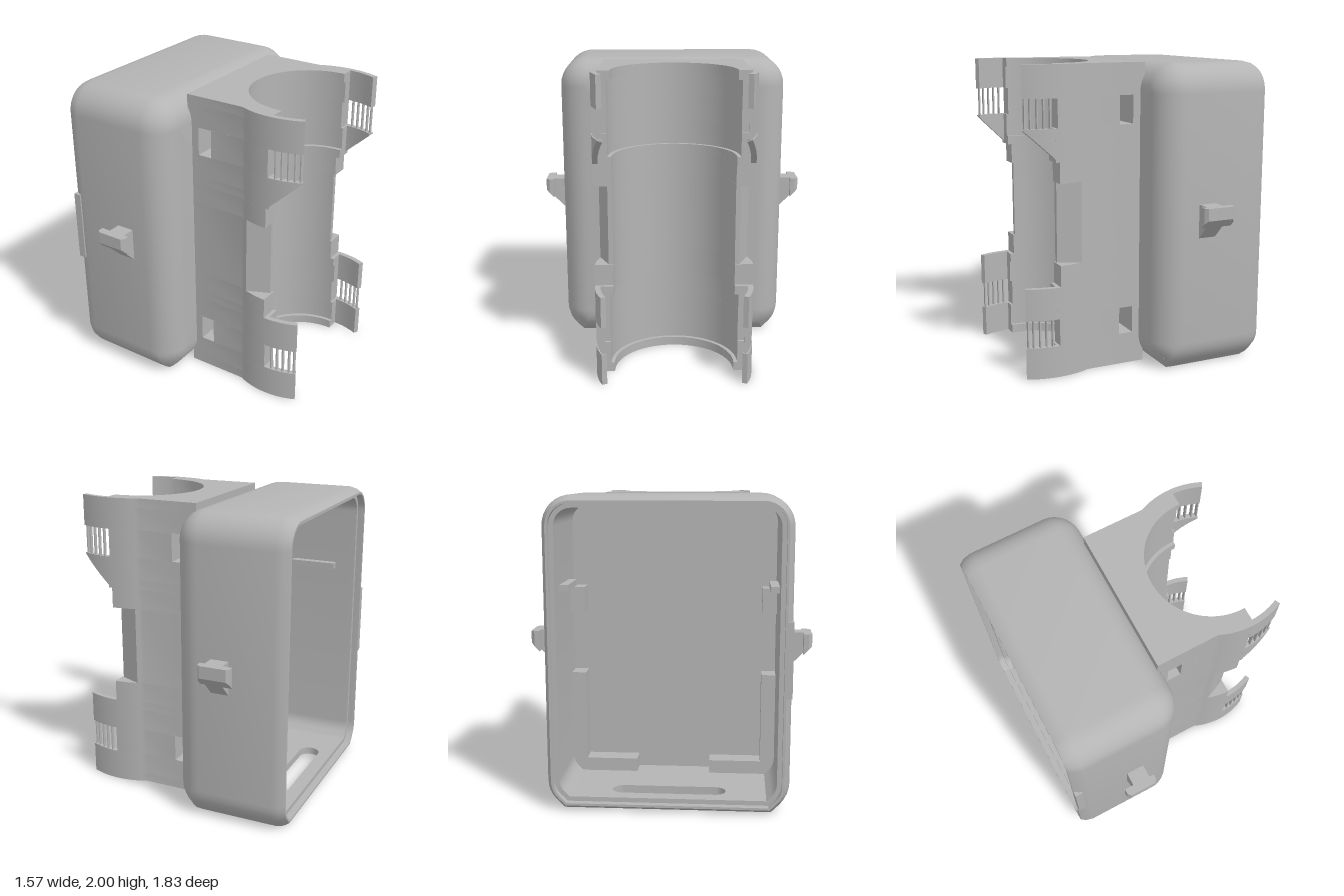
import * as THREE from 'three';
import { toCreasedNormals } from 'three/addons/utils/BufferGeometryUtils.js';

const grey = new THREE.MeshStandardMaterial({ color: 0xb4b4b4, side: THREE.DoubleSide });
grey.name = 'plain grey';

const CX = 0.565, BORE = 0.395, GROOVE = 0.42, OUT = 0.515, ARM = 0.48;

export function createModel() {
  const model = new THREE.Group();
  const add = (name, geo) => {
    const mesh = new THREE.Mesh(toCreasedNormals(geo, 0.5), grey);
    mesh.name = name;
    model.add(mesh);
    return mesh;
  };
  const box = (name, x0, x1, y0, y1, z0, z1) => add(name,
    new THREE.BoxGeometry(x1 - x0, y1 - y0, z1 - z0).translate((x0 + x1) / 2, (y0 + y1) / 2, (z0 + z1) / 2));
  const shapeOf = pts => new THREE.Shape(pts.map(p => new THREE.Vector2(p[0], p[1])));
  // Extrudes a plan outline (x, z) upwards from y0 to y1
  const layer = (shape, y0, y1) =>
    new THREE.ExtrudeGeometry(shape, { depth: y1 - y0, bevelEnabled: false, curveSegments: 16 })
      .rotateX(-Math.PI / 2).translate(0, y0, 0);
  // Points on a circle round the bore axis between two x positions, on the side z > 0
  const arc = (r, xa, xb, n) => {
    const a = Math.acos((xa - CX) / r), b = Math.acos((xb - CX) / r);
    return Array.from({ length: n + 1 }, (_, i) => {
      const t = a + (b - a) * i / n;
      return [CX + r * Math.cos(t), r * Math.sin(t)];
    });
  };
  const flip = pts => pts.map(([x, z]) => [x, -z]).reverse();

  // ---- Hollow case, open towards -x ----
  add('caseShell', shellGeometry());
  const slot = (cx, half, len) => {
    const p = new THREE.Path();
    p.absarc(cx, len - half, half, 0, Math.PI, false);
    p.absarc(cx, half - len, half, Math.PI, 2 * Math.PI, false);
    p.closePath();
    return p;
  };
  // Case bottom with a recessed cable slot
  [[0, 0.03, 0.115, 0.5], [0.03, 0.08, 0.07, 0.37]].forEach(([y0, y1, half, len]) => {
    const s = shapeOf([[-0.70, -0.664], [-0.2, -0.664], [-0.2, 0.664], [-0.70, 0.664]]);
    s.holes.push(slot(-0.578, half, len));
    add('caseBottom', layer(s, y0, y1));
  });
  box('lidNotch', -0.785, -0.735, 0.76, 1.24, 0.735, 0.777);

  // Brackets inside the case
  for (const s of [1, -1]) {
    const inner = (name, x0, x1, y0, y1, za, zb) =>
      box(name, x0, x1, y0, y1, Math.min(za * s, zb * s), Math.max(za * s, zb * s));
    inner('boardPost', -0.22, -0.09, 0.1, 0.78, 0.6, 0.7);
    inner('boardHook', -0.22, -0.09, 1.2, 1.37, 0.6, 0.7);
    inner('boardLedge', -0.22, -0.09, 0.08, 0.17, 0.25, 0.7);
    inner('boardRail', -0.6, -0.28, 1.39, 1.43, 0.64, 0.7);
  }

  // ---- Clamp body, stacked in layers: y0, y1, bore radius, end x, kind ----
  const layers = [
    [0, 0.06, BORE, 0.58], [0.06, 0.21, GROOVE, 0.58], [0.21, 0.39, GROOVE, 0.565, 'window'],
    [0.39, 0.54, GROOVE, 0.58], [0.54, 0.6, BORE, 0.58], [0.6, 0.74, BORE, 0.555],
    [0.74, 1.265, BORE, 0.545, 'cut'], [1.265, 1.4, BORE, 0.555], [1.4, 1.46, BORE, 0.58],
    [1.46, 1.61, GROOVE, 0.58], [1.61, 1.795, GROOVE, 0.565, 'window'],
    [1.795, 1.94, GROOVE, 0.58], [1.94, 2, BORE, 0.58],
  ];
  for (const [y0, y1, r, end, kind] of layers) {
    const x0 = kind === 'window' ? 0.125 : -0.05;
    const outer = kind === 'cut'
      ? [...arc(OUT, 0.355, 0.4, 2), [end, 0.425]]
      : arc(OUT, 0.355, end, 6);
    const bore = arc(r, end, CX - r, 24);
    const half = [[x0, 0.472], ...outer, ...bore];
    add('clampBody', layer(shapeOf([...half, ...flip(half).slice(1)]), y0, y1));
    if (kind === 'window') box('clampBack', -0.05, 0.03, y0, y1, -0.472, 0.472);
  }

  // ---- Thin springy arms ----
  for (const s of [1, -1]) {
    const sector = (xa, xb, dx) => shapeOf(
      [...arc(OUT, xa, xb, 8), ...arc(ARM, xb - dx, xa, 8)].map(([x, z]) => [x, z * s]));
    const plan = sector(0.56, 0.78, 0.015);
    for (const [y0, y1] of [[0, 0.21], [0.39, 0.6], [1.4, 1.61], [1.795, 2]]) {
      const g = layer(plan, y0, y1);
      if (y0 === 1.4) {
        // Slanted lower edge
        const p = g.attributes.position;
        for (let i = 0; i < p.count; i++) {
          if (p.getY(i) < 1.5) p.setY(i, 1.4 + Math.max(0, p.getX(i) - 0.56) * 0.93);
        }
        g.computeVertexNormals();
      }
      add('clampArm', g);
    }
    // Fine bars across the arm windows
    for (const x of [0.61, 0.65, 0.69, 0.73, 0.762]) {
      const z = s * Math.sqrt(0.498 ** 2 - (x - CX) ** 2);
      for (const y of [0.21, 1.61]) box('windowBar', x - 0.004, x + 0.004, y, y + 0.185, z - 0.012, z + 0.012);
    }
  }

  // ---- Hook on each side of the case ----
  for (const s of [1, -1]) {
    const hook = (pts, x0, x1, taper = 0) => {
      const g = new THREE.ExtrudeGeometry(shapeOf(pts.map(([z, y]) => [z * s, y])),
        { depth: x1 - x0, bevelEnabled: false }).rotateY(-Math.PI / 2).translate(x1, 0, 0);
      const p = g.attributes.position, mid = (x0 + x1) / 2;
      for (let i = 0; i < p.count; i++) {
        if (Math.abs(p.getZ(i)) > 0.9) p.setX(i, p.getX(i) - Math.sign(p.getX(i) - mid) * taper);
      }
      g.computeVertexNormals();
      return g;
    };
    add('hookStem', hook([[0.76, 1.11], [0.87, 1.11], [0.87, 0.985], [0.775, 0.89], [0.76, 0.89]], -0.412, -0.293));
    add('hookHead', hook([[0.86, 1.11], [0.893, 1.11], [0.893, 1.008], [0.86, 0.975]], -0.474, -0.26));
    add('hookTip', hook([[0.893, 1.11], [0.915, 1.11], [0.915, 1.03], [0.893, 1.008]], -0.474, -0.26, 0.018));
  }
  return model;
}

// Case walls: rounded loops in the y-z plane strung along a profile of x and inset
function shellGeometry() {
  const R = 0.18, K = 2 - Math.SQRT2, rings = [];
  for (let i = 8; i >= 0; i--) {
    const t = i / 8 * Math.PI / 2, a = R * (1 - Math.sin(t)), d = R * (1 - Math.cos(t));
    // The lower edge ends in a 45 degree slope
    rings.push([-0.02 - a, d, t > Math.PI / 4 ? d : Math.max(0, K * R - a)]);
  }
  const straight = rings.length - 1;
  for (const [x, d] of [[-0.70, 0], [-0.75, 0.012], [-0.785, 0.035], [-0.785, 0.05],
    [-0.74, 0.05], [-0.74, 0.08], [-0.70, 0.08], [-0.2, 0.08], [-0.09, 0.08]]) rings.push([x, d, d]);

  const loops = rings.map(([x, d, low]) => {
    const r = 0.19 - d, w = 0.775 - d, pts = [];
    for (let i = 0; i <= 8; i++) {
      const t = i / 8 * Math.PI / 2;
      pts.push([w - r + r * Math.cos(t), 2 - d - r + r * Math.sin(t)]);
    }
    const left = pts.map(([z, y]) => [-z, y]).reverse();
    const foot = [];
    for (let i = 0; i <= 4; i++) {
      const t = i / 4 * Math.PI / 4;
      foot.push([-(w - r + r * Math.cos(t)), low + r - r * Math.sin(t)]);
    }
    foot.push([-(w - K * r), low]);
    const footRight = foot.map(([z, y]) => [-z, y]).reverse();
    return [...pts, ...left, ...foot, ...footRight].map(([z, y]) => new THREE.Vector3(x, y, z));
  });

  const n = loops[0].length, bottom = 23, out = [];
  const tri = (...v) => v.forEach(p => out.push(p.x, p.y, p.z));
  for (let i = 0; i < loops.length - 1; i++) {
    const gap = i === straight || i === loops.length - 3;
    for (let j = 0; j < n; j++) {
      if (gap && j === bottom) continue;
      const k = (j + 1) % n, a = loops[i], b = loops[i + 1];
      tri(a[j], a[k], b[j]);
      tri(a[k], b[k], b[j]);
    }
  }
  // Flat back on the outside and floor on the inside
  const first = loops[0], last = loops[loops.length - 1];
  const c0 = new THREE.Vector3(first[0].x, 1, 0), c1 = new THREE.Vector3(last[0].x, 1, 0);
  for (let j = 0; j < n; j++) {
    const k = (j + 1) % n;
    tri(c0, first[k], first[j]);
    tri(c1, last[j], last[k]);
  }
  const g = new THREE.BufferGeometry();
  g.setAttribute('position', new THREE.Float32BufferAttribute(out, 3));
  g.computeVertexNormals();
  return g;
}
